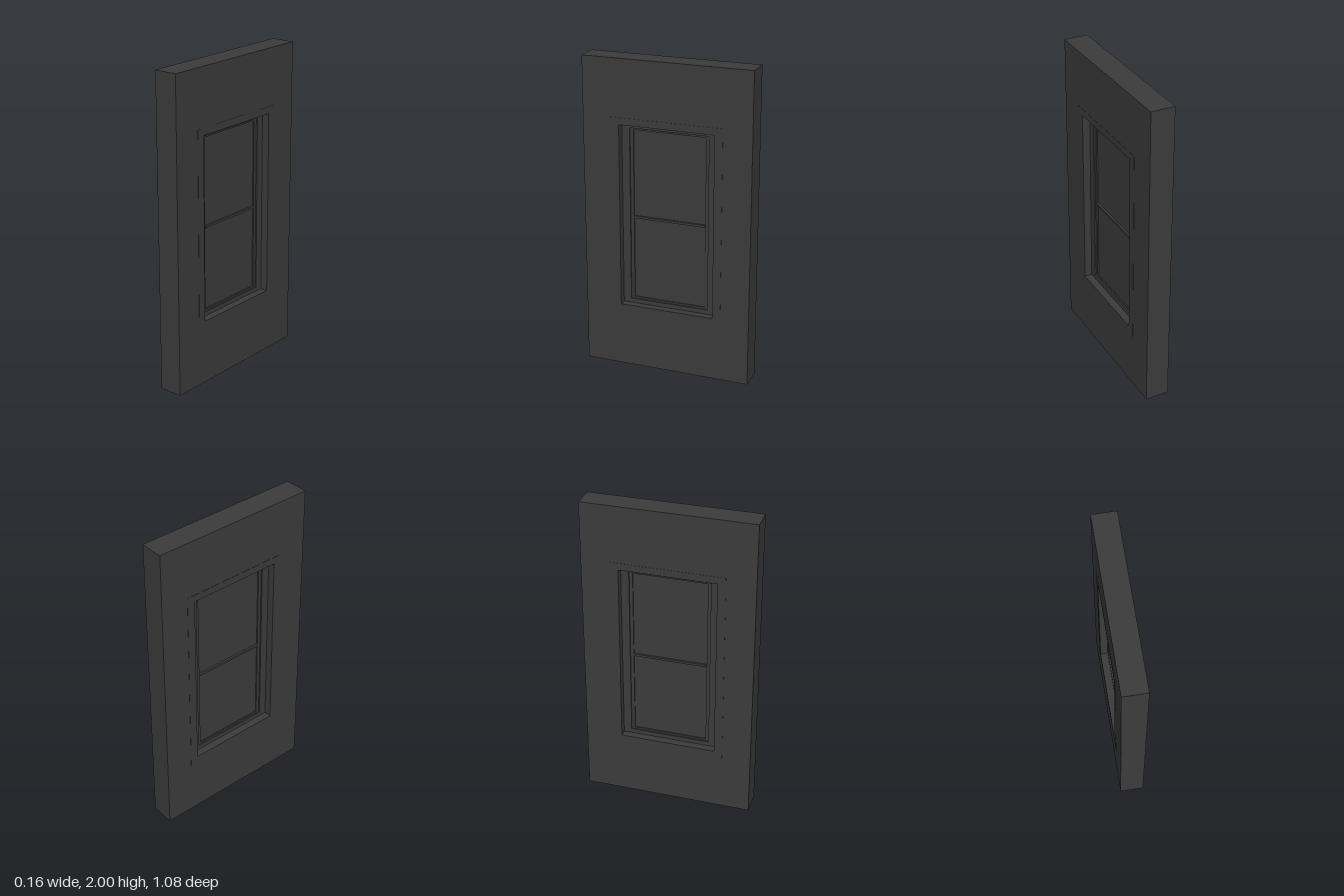
import * as THREE from 'three';

const material = new THREE.MeshStandardMaterial({ color: 0x3c3c3c });

// Rectangles are [half width in z, bottom y, top y]
const WALL = [0.54, 0, 2];
const TRIM = [0.357, 0.367, 1.637];
const OPENING = [0.305, 0.413, 1.592];
const FRAME = [0.255, 0.441, 1.565];
const GLASS = [0.234, 0.453, 1.553];

function trace(path, [w, y0, y1]) {
  path.moveTo(-w, y0);
  path.lineTo(w, y0);
  path.lineTo(w, y1);
  path.lineTo(-w, y1);
  path.closePath();
  return path;
}

// Rectangular ring facing x, reaching halfDepth either side of the centre plane
function ring(name, outer, inner, halfDepth) {
  const shape = trace(new THREE.Shape(), outer);
  shape.holes.push(trace(new THREE.Path(), inner));
  const geometry = new THREE.ExtrudeGeometry(shape, { depth: halfDepth * 2, bevelEnabled: false });
  geometry.translate(0, 0, -halfDepth);
  geometry.rotateY(Math.PI / 2);
  const mesh = new THREE.Mesh(geometry, material);
  mesh.name = name;
  return mesh;
}

// Box centred on x = 0 and z = 0
function slab(name, [w, y0, y1], halfDepth) {
  const mesh = new THREE.Mesh(new THREE.BoxGeometry(halfDepth * 2, y1 - y0, w * 2), material);
  mesh.position.y = (y0 + y1) / 2;
  mesh.name = name;
  return mesh;
}

export function createModel() {
  const model = new THREE.Group();
  model.name = 'windowWall';

  // Wall panel and the slightly proud casing around the opening
  model.add(ring('wall', WALL, TRIM, 0.076));
  model.add(ring('casing', TRIM, OPENING, 0.0775));

  // Stepped window, receding equally on both sides
  model.add(ring('windowFrame', OPENING, FRAME, 0.029));
  model.add(ring('sash', FRAME, GLASS, 0.02));
  model.add(slab('glass', GLASS, 0.012));
  model.add(slab('meetingRail', [GLASS[0], 0.985, 0.999], 0.025));

  return model;
}
